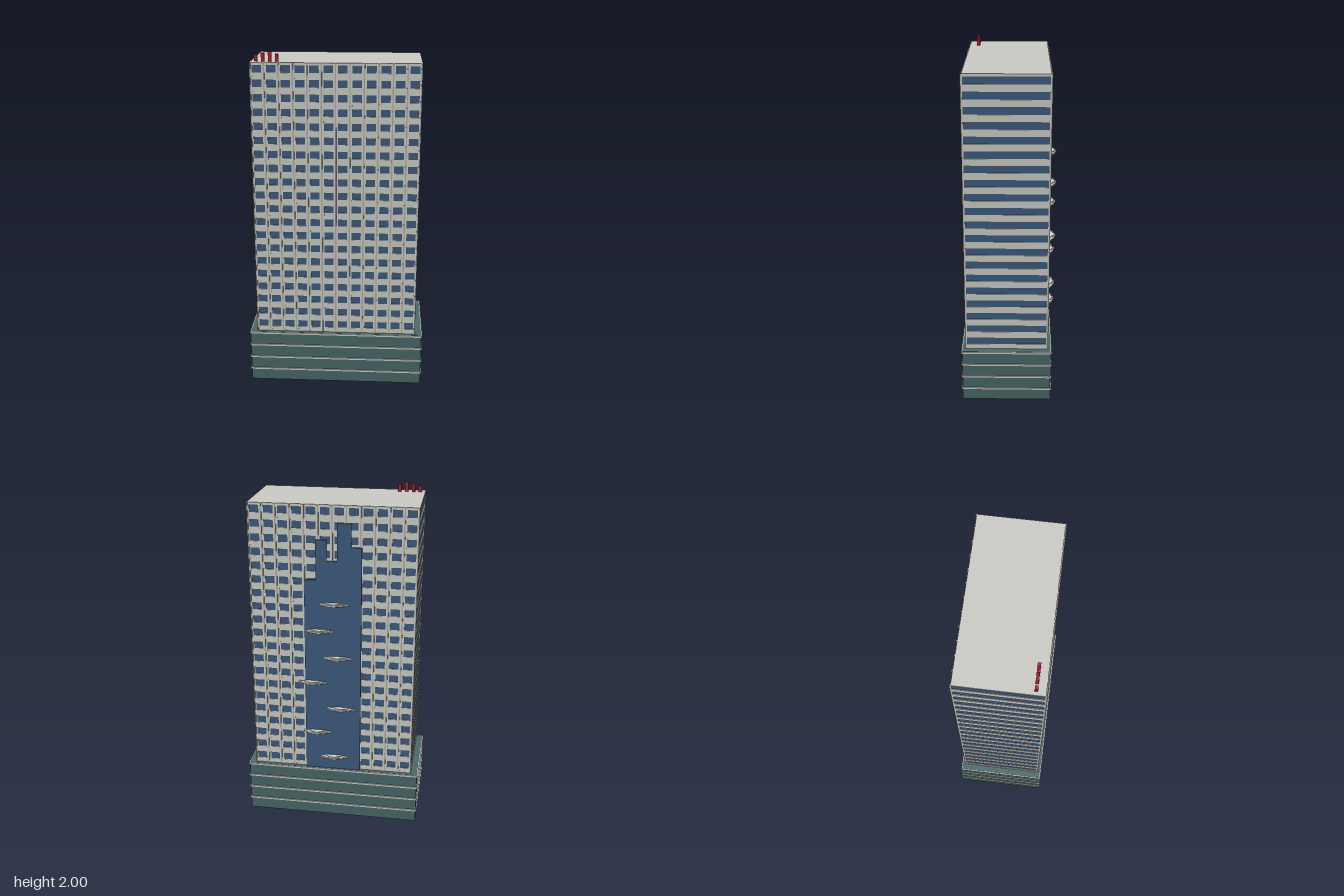
import * as THREE from 'three';

const material = (name, color) => {
  const m = new THREE.MeshStandardMaterial({ color });
  m.name = name;
  return m;
};

export function createModel() {
  const wall = material('pale wall', 0xd6d6d0);
  const roofGrey = material('roof grey', 0xcbcbc6);
  const glass = material('blue glass', 0x3f5f82);
  const teal = material('teal cladding', 0x4b6b6a);
  const trim = material('fin grey', 0xb6b3a2);
  const red = material('red', 0xc4202e);

  const model = new THREE.Group();
  model.name = 'officeTower';
  const building = new THREE.Group();
  building.name = 'building';
  building.rotation.y = -Math.PI / 6; // the block stands turned on its site
  model.add(building);

  const add = (name, geometry, mat, x = 0, y = 0, z = 0) => {
    const mesh = new THREE.Mesh(geometry, mat);
    mesh.name = name;
    mesh.position.set(x, y, z);
    building.add(mesh);
    return mesh;
  };
  const box = (name, mat, w, h, d, x, y, z) =>
    add(name, new THREE.BoxGeometry(w, h, d), mat, x, y, z);

  const W = 0.956, D = 0.47, BASE = 0.32, FLOORS = 20, PITCH = 0.081;
  const TOP = BASE + FLOORS * PITCH;

  // Podium with a thin ledge above each storey
  box('podium', teal, 1.032, BASE, 0.515, 0, BASE / 2, 0);
  for (let i = 1; i <= 4; i++) {
    box('podiumLedge', wall, 1.044, 0.01, 0.527, 0, i * 0.08 - 0.006, 0);
  }

  // Glass core wrapped by a spandrel band between window rows
  box('glassCore', glass, W - 0.006, TOP - BASE, D - 0.006, 0, (TOP + BASE) / 2, 0);
  for (let i = 0; i <= FLOORS; i++) {
    const low = i === 0 ? BASE : BASE + i * PITCH - 0.009;
    const high = i === FLOORS ? TOP : BASE + i * PITCH + 0.03;
    box('spandrel', wall, W, high - low, D, 0, (low + high) / 2, 0);
  }
  box('roof', roofGrey, W, 0.005, D, 0, TOP + 0.0025, 0);

  // Piers and slim fins dividing both long sides into bays
  const BAYS = 12, bay = W / BAYS, height = TOP - BASE, mid = (TOP + BASE) / 2;
  for (const side of [-1, 1]) {
    for (let i = 0; i <= BAYS; i++) {
      const end = i === 0 ? 1 : i === BAYS ? -1 : 0;
      const x = -W / 2 + i * bay;
      box('pier', wall, end ? 0.013 : 0.026, height, 0.005, x + end * 0.0065, mid, side * (D / 2 - 0.002));
      box('fin', trim, 0.007, height + 0.004, 0.008, x + end * 0.0035, mid + 0.002, side * (D / 2 + 0.003));
    }
  }

  // Stepped blue panel on the back
  const outline = [
    [0.16, BASE], [0.16, 1.517], [0.093, 1.517], [0.093, 1.75], [0.031, 1.75], [0.031, 1.63],
    [-0.028, 1.63], [-0.028, 1.846], [-0.108, 1.846], [-0.108, 1.713], [-0.168, 1.713], [-0.168, BASE],
  ].map(([x, y]) => new THREE.Vector2(x, y));
  add('steppedPanel', new THREE.ExtrudeGeometry(new THREE.Shape(outline), { depth: 0.014, bevelEnabled: false }),
    glass, 0, 0, -D / 2 - 0.013);

  // Cloud-shaped shelves: a thin lobed plate with a thicker middle
  const lobes = [
    [-0.085, 0], [-0.083, 0.012], [-0.062, 0.018], [-0.05, 0.031], [-0.026, 0.031], [-0.012, 0.04],
    [0.016, 0.038], [0.028, 0.027], [0.05, 0.026], [0.062, 0.014], [0.083, 0.01], [0.085, 0],
  ];
  const plate = (scale, thickness) => {
    const pts = lobes.map(([x, d]) => new THREE.Vector2(-x * scale, d * (0.6 + 0.4 * scale)));
    const g = new THREE.ExtrudeGeometry(new THREE.Shape(pts), { depth: thickness, bevelEnabled: false });
    return g.rotateX(-Math.PI / 2).translate(0, -thickness / 2, 0);
  };
  const thin = plate(1, 0.009), thick = plate(0.6, 0.019);
  const shelves = [
    [-0.012, 1.379], [0.074, 1.215], [-0.032, 1.052], [0.115, 0.891],
    [-0.054, 0.728], [0.09, 0.568], [-0.012, 0.404],
  ];
  for (const [x, y] of shelves) {
    add('cloudShelf', thin, wall, x, y, -D / 2 - 0.012);
    add('cloudShelfCore', thick, wall, x, y, -D / 2 - 0.012);
  }

  // Row of red rooftop blocks
  [1.98, 1.99, 2.0, 1.985].forEach((top, i) => {
    box('roofBlock', red, 0.019, top - TOP, 0.017, -0.448 + i * 0.0393, (top + TOP) / 2, 0.184);
  });

  return model;
}
